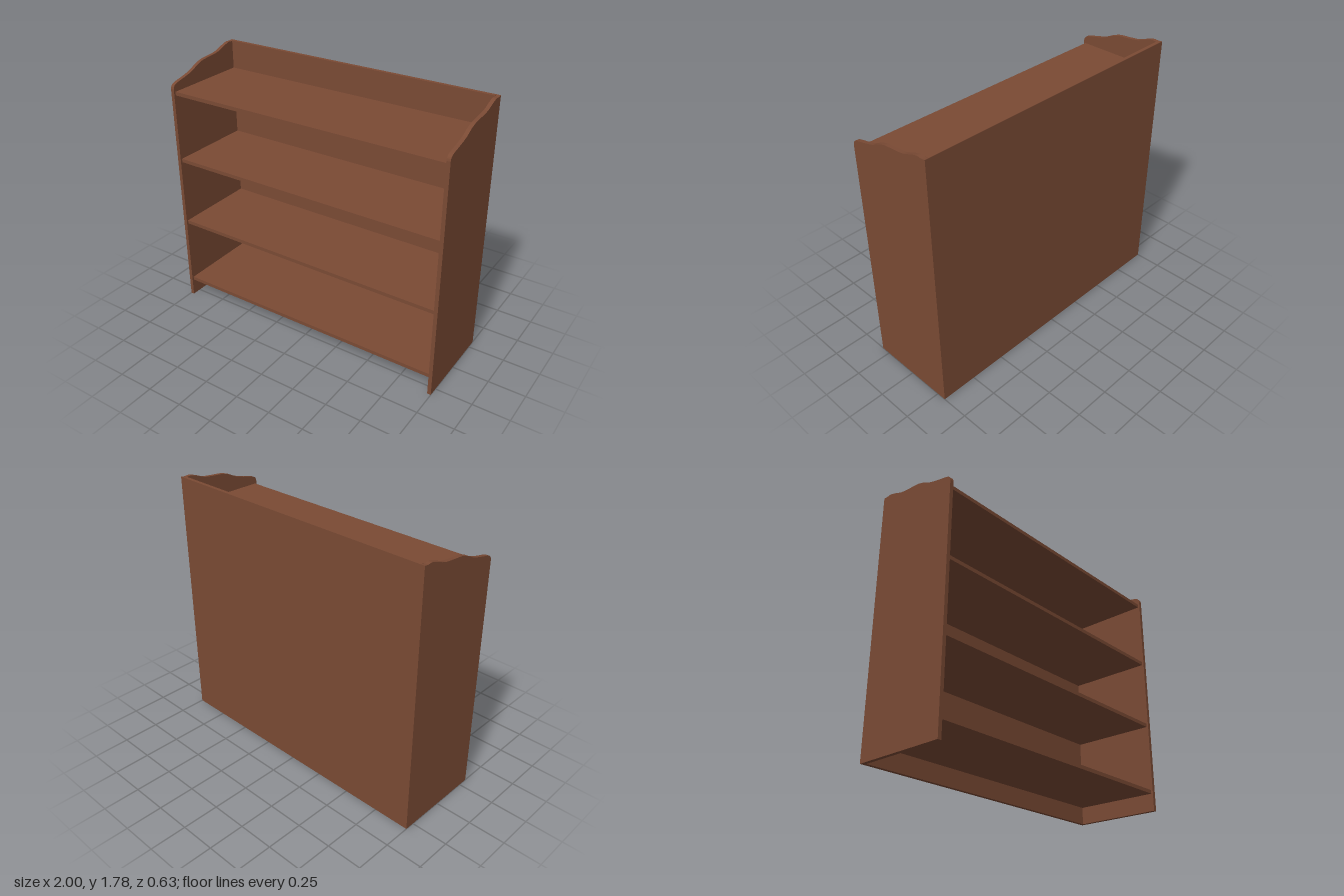
import * as THREE from 'three';

const WIDTH = 2, HEIGHT = 1.785, HALF_DEPTH = 0.315, BOARD = 0.025;

export function createModel() {
  const bookcase = new THREE.Group();
  bookcase.name = 'bookcase';
  const wood = new THREE.MeshStandardMaterial({ color: 0x7a4a34 });
  wood.name = 'brown wood';

  const add = (name, geometry, x, y, z) => {
    const mesh = new THREE.Mesh(geometry, wood);
    mesh.name = name;
    mesh.position.set(x, y, z);
    bookcase.add(mesh);
  };

  // Side panel: outline in (z, y) with a wavy top edge
  const wave = new THREE.SplineCurve([
    [0.315, 1.61], [0.307, 1.632], [0.28, 1.647], [0.2, 1.665], [0.13, 1.685],
    [0.08, 1.71], [0.03, 1.727], [0, 1.732], [-0.07, 1.738], [-0.14, 1.747],
    [-0.2, 1.769], [-0.25, 1.784], [-0.285, 1.782], [-0.315, HEIGHT],
  ].map(([z, y]) => new THREE.Vector2(z, y)));
  const outline = new THREE.Shape([
    new THREE.Vector2(-HALF_DEPTH, 0),
    new THREE.Vector2(HALF_DEPTH, 0),
    ...wave.getPoints(39),
  ]);
  const side = new THREE.ExtrudeGeometry(outline, { depth: BOARD, bevelEnabled: false });
  side.rotateY(-Math.PI / 2); // outline x becomes z, thickness runs towards -x
  add('leftSide', side, WIDTH / 2, 0, 0);
  add('rightSide', side, -WIDTH / 2 + BOARD, 0, 0);

  // Back panel, full height between the sides
  const inner = WIDTH - 2 * BOARD;
  add('backPanel', new THREE.BoxGeometry(inner, HEIGHT, BOARD),
    0, HEIGHT / 2, -HALF_DEPTH + BOARD / 2);

  // Four evenly spaced shelves, set slightly back from the front edge
  const back = -HALF_DEPTH + BOARD, front = 0.302;
  const shelf = new THREE.BoxGeometry(inner, BOARD, front - back);
  for (let i = 0; i < 4; i++) {
    add(`shelf${i + 1}`, shelf, 0, 0.132 + i * 0.482, (front + back) / 2);
  }
  return bookcase;
}
